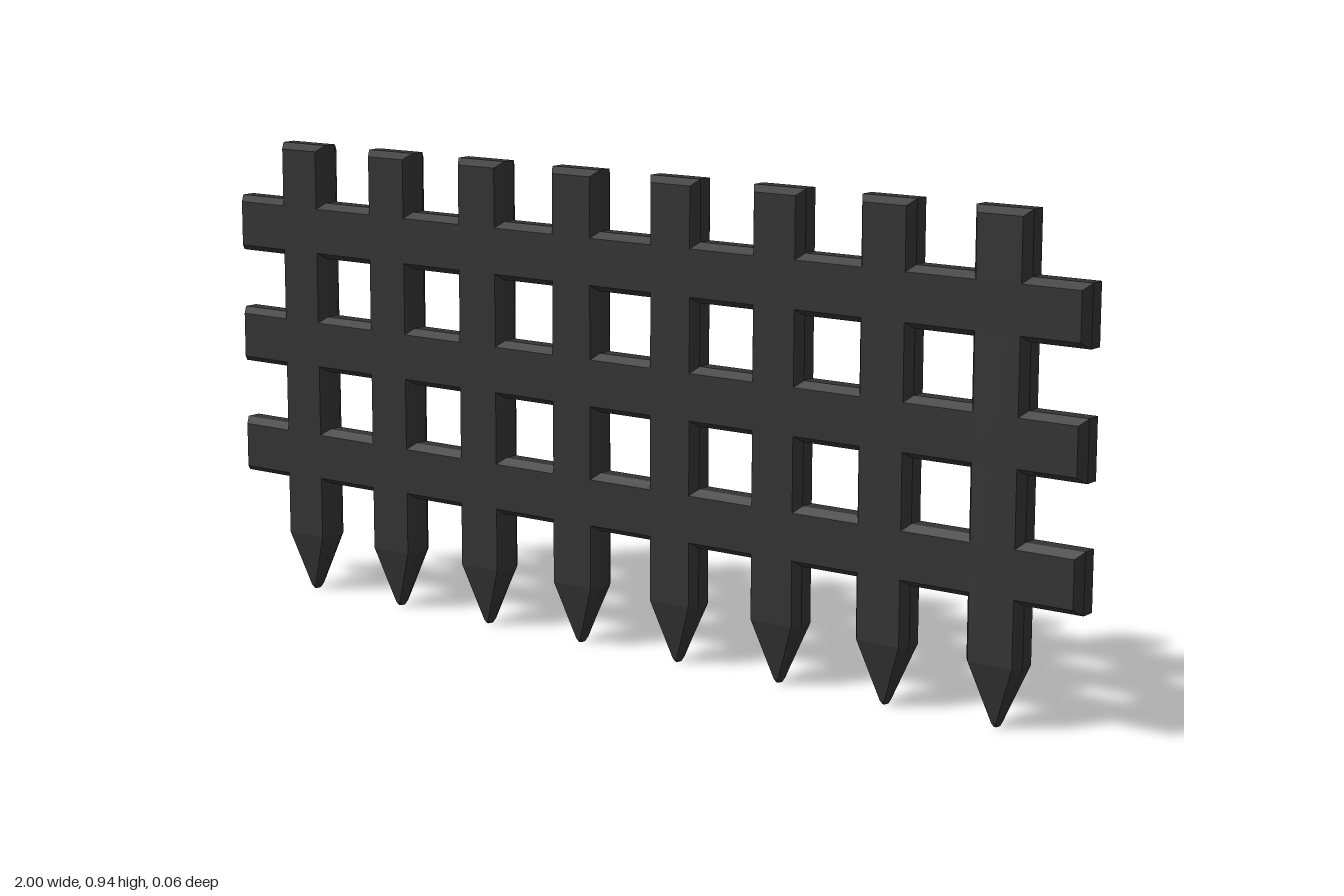
import * as THREE from 'three';

const W = 0.0575; // half width of a bar
const D = 0.032;  // half depth of a bar
const S = 0.015;  // half depth of the narrow side faces
const C = 0.012;  // chamfer seen from the front

// Eight-sided cross-section at height y
function section({ y, w, d, s, c }) {
  return [[w, -s], [w, s], [w - c, d], [c - w, d], [-w, s], [-w, -s], [c - w, -d], [w - c, -d]]
    .map(([x, z]) => new THREE.Vector3(x, y, z));
}

// Skins cross-sections listed from bottom to top and caps both ends
function loft(sections) {
  const rings = sections.map(section);
  const points = [];
  const tri = new THREE.Triangle();
  const add = (a, b, c) => {
    if (tri.set(a, b, c).getArea() > 1e-9) points.push(a, b, c);
  };
  for (let r = 0; r < rings.length - 1; r++) {
    const lo = rings[r], hi = rings[r + 1];
    for (let i = 0; i < 8; i++) {
      const j = (i + 1) % 8;
      add(lo[i], hi[i], lo[j]);
      add(lo[j], hi[i], hi[j]);
    }
  }
  const first = rings[0], last = rings[rings.length - 1];
  for (let i = 1; i < 7; i++) {
    add(first[0], first[i], first[i + 1]);
    add(last[0], last[i + 1], last[i]);
  }
  const geometry = new THREE.BufferGeometry().setFromPoints(points);
  geometry.computeVertexNormals();
  return geometry;
}

const full = (y) => ({ y, w: W, d: D, s: S, c: C });
const end = (y) => ({ y, w: W, d: S, s: S, c: 0 });

export function createModel() {
  const group = new THREE.Group();
  group.name = 'latticeGate';
  const material = new THREE.MeshStandardMaterial({ color: 0x333333, flatShading: true });

  // Upright bars: blunt spike at the bottom, chamfered top
  const uprightGeometry = loft([
    { y: 0, w: 0.004, d: 0.008, s: 0.004, c: 0.002 },
    { y: 0.008, w: 0.008, d: 0.013, s: 0.006, c: 0.003 },
    full(0.12), full(0.938 - C), end(0.938),
  ]);
  for (let i = 0; i < 8; i++) {
    const upright = new THREE.Mesh(uprightGeometry, material);
    upright.name = `uprightBar${i + 1}`;
    upright.position.x = (i - 3.5) * 0.2355;
    group.add(upright);
  }

  // Cross bars: chamfered at both ends
  const crossGeometry = loft([end(-1), full(-1 + C), full(1 - C), end(1)]);
  crossGeometry.rotateZ(-Math.PI / 2);
  for (let i = 0; i < 3; i++) {
    const cross = new THREE.Mesh(crossGeometry, material);
    cross.name = `crossBar${i + 1}`;
    cross.position.y = 0.292 + i * 0.2355;
    group.add(cross);
  }
  return group;
}
